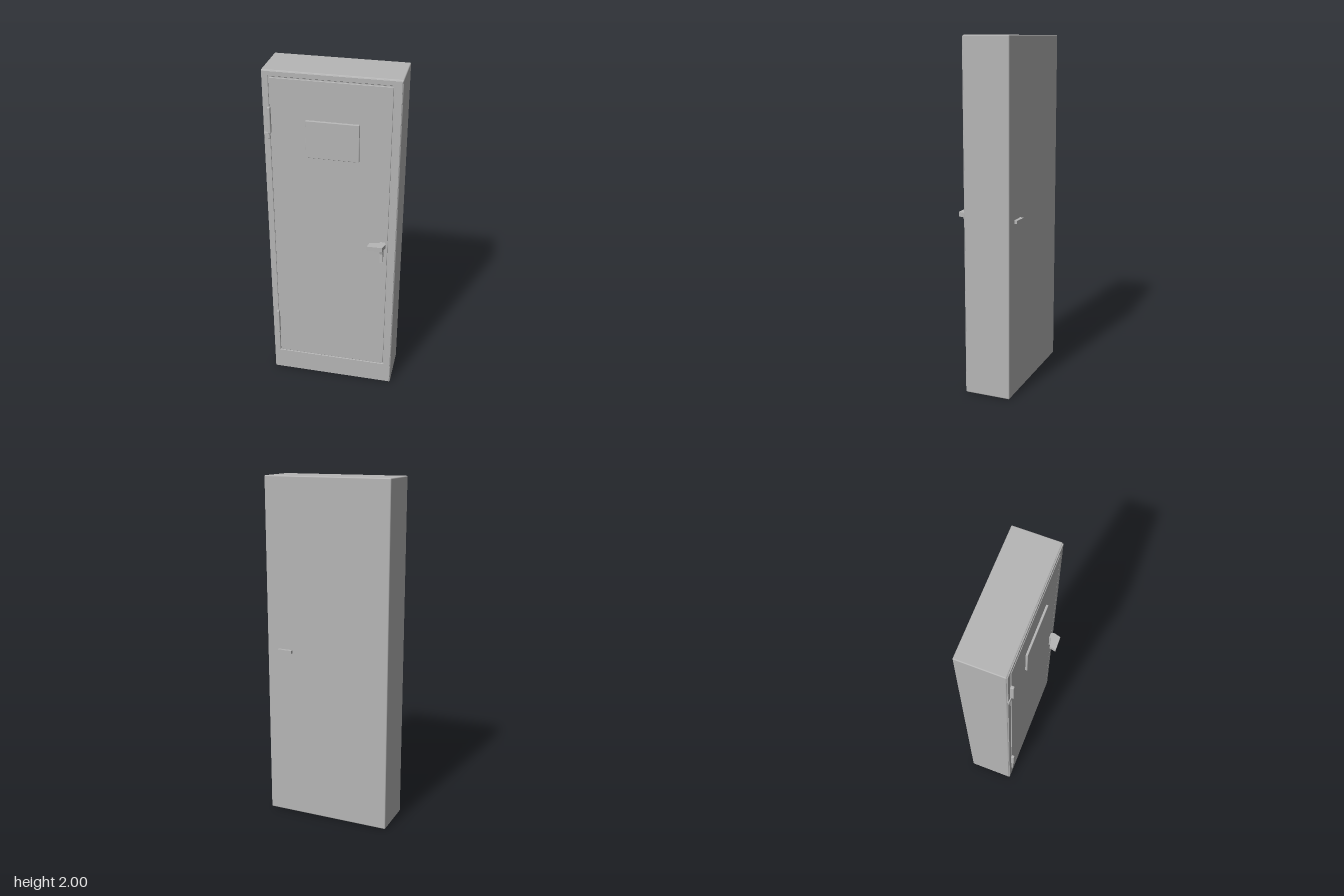
import * as THREE from 'three';
import { RoundedBoxGeometry } from 'three/addons/geometries/RoundedBoxGeometry.js';

export function createModel() {
  const group = new THREE.Group();
  const grey = new THREE.MeshStandardMaterial({ color: 0xb6b6b6 });
  grey.name = 'grey paint';

  const add = (name, geometry) => {
    const mesh = new THREE.Mesh(geometry, grey);
    mesh.name = name;
    group.add(mesh);
    return mesh;
  };

  // Box given by its two extreme corners, with softened edges
  const block = (name, [x0, y0, z0], [x1, y1, z1], r = 0.002) => {
    const g = new RoundedBoxGeometry(x1 - x0, y1 - y0, z1 - z0, 2, r);
    g.translate((x0 + x1) / 2, (y0 + y1) / 2, (z0 + z1) / 2);
    return add(name, g);
  };

  const rectangle = (P, x0, y0, x1, y1) => new P([
    new THREE.Vector2(x0, y0), new THREE.Vector2(x1, y0),
    new THREE.Vector2(x1, y1), new THREE.Vector2(x0, y1),
  ]);

  // Flat outline in x and z, raised from y0 to y1
  const slab = (name, outline, y0, y1) => {
    const shape = new THREE.Shape(outline.map(([x, z]) => new THREE.Vector2(x, -z)));
    const g = new THREE.ExtrudeGeometry(shape, { depth: y1 - y0, bevelEnabled: false });
    g.rotateX(-Math.PI / 2);
    g.translate(0, y0, 0);
    return add(name, g);
  };

  // Solid body
  block('body', [-0.373, 0, -0.157], [0.371, 2, 0.107], 0.006);

  // Raised frame around the door opening
  const frame = rectangle(THREE.Shape, -0.369, 0.004, 0.367, 1.996);
  frame.holes.push(rectangle(THREE.Path, -0.335, 0.143, 0.328, 1.967));
  const frameGeometry = new THREE.ExtrudeGeometry(frame, {
    depth: 0.004, bevelThickness: 0.002, bevelSize: 0.002, bevelOffset: -0.002, bevelSegments: 1,
  });
  frameGeometry.translate(0, 0, 0.106);
  add('doorFrame', frameGeometry);

  // Door leaf with a narrow groove around it, and its raised panel
  block('door', [-0.329, 0.149, 0.1], [0.322, 1.961, 0.114]);
  block('doorPanel', [-0.138, 1.527, 0.11], [0.153, 1.742, 0.126], 0.003);

  // Hinges on the right edge of the door
  for (const [y0, y1] of [[1.65, 1.8], [0.3, 0.46]]) {
    block('hinge', [-0.344, y0, 0.108], [-0.327, y1, 0.131], 0.005);
  }
  block('upperHingeTab', [-0.368, 1.617, 0.108], [-0.337, 1.652, 0.118]);
  block('lowerHingePin', [-0.338, 0.15, 0.108], [-0.331, 0.3, 0.122]);

  // Front handle: a flat lever above a tapering plate
  slab('frontHandle', [
    [0.215, 0.177], [0.302, 0.175], [0.314, 0.132], [0.305, 0.112],
    [0.28, 0.112], [0.275, 0.128], [0.222, 0.138],
  ], 1.012, 1.038);
  const plate = new THREE.Shape([
    [-0.11, 0.91], [-0.142, 0.915], [-0.138, 0.97], [-0.15, 1.015], [-0.11, 1.015],
  ].map(([x, y]) => new THREE.Vector2(x, y)));
  const plateGeometry = new THREE.ExtrudeGeometry(plate, { depth: 0.017, bevelEnabled: false });
  plateGeometry.rotateY(Math.PI / 2);
  plateGeometry.translate(0.284, 0, 0);
  add('handlePlate', plateGeometry);

  // Low lever on the back
  slab('backHandle', [
    [0.212, -0.15], [0.298, -0.15], [0.3, -0.174], [0.245, -0.179], [0.211, -0.179],
  ], 1.0, 1.018);

  return group;
}
